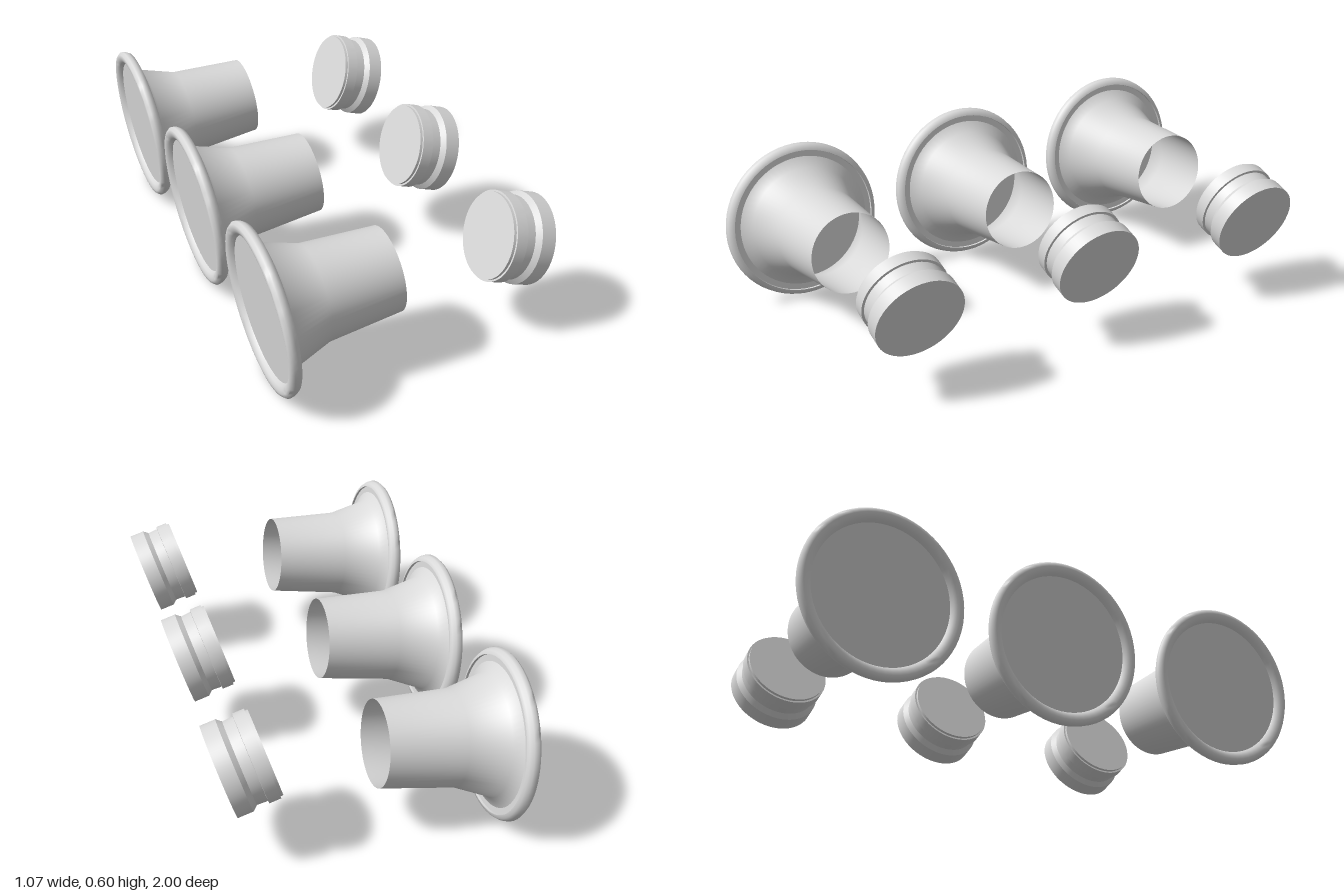
import * as THREE from 'three';
import { toCreasedNormals } from 'three/addons/utils/BufferGeometryUtils.js';

const SEGMENTS = 64;

// Profile points are [distance along axis, radius]
function turned(name, profile, crease, material) {
  const points = profile.map(([s, r]) => new THREE.Vector2(r, s));
  const geometry = toCreasedNormals(new THREE.LatheGeometry(points, SEGMENTS), crease);
  const mesh = new THREE.Mesh(geometry, material);
  mesh.name = name;
  return mesh;
}

export function createModel() {
  const model = new THREE.Group();
  model.name = 'hornsAndPlugs';

  const grey = new THREE.MeshStandardMaterial({ color: 0xdadada, side: THREE.DoubleSide });
  grey.name = 'lightGrey';

  [-0.7, 0, 0.7].forEach((z) => {
    // Flared horn, open at its narrow end
    const horn = new THREE.Group();
    horn.name = 'horn';
    horn.add(turned('hornBody', [
      [0.031, 0.252], [0.057, 0.214], [0.19, 0.169], [0.459, 0.15],
    ], 0.75, grey));

    // Rounded rim with a shallow step down to the horn body
    horn.add(turned('hornRim', [
      [0.012, 0.25], [0.0, 0.258], [-0.006, 0.27], [-0.008, 0.281], [-0.006, 0.291],
      [0.005, 0.3], [0.02, 0.297], [0.033, 0.289], [0.037, 0.276], [0.029, 0.275], [0.029, 0.25],
    ], 0.9, grey));

    // Slightly recessed plate closing the wide end
    horn.add(turned('hornBackPlate', [[0.012, 0], [0.012, 0.25]], 0.5, grey));
    horn.position.set(-0.502, 0.302, z);
    horn.rotation.z = 0.1 - Math.PI / 2;
    model.add(horn);

    // Grooved solid plug in front of the horn
    const plug = turned('plug', [
      [0, 0], [0, 0.151], [0.01, 0.151], [0.01, 0.158], [0.052, 0.158], [0.053, 0.149],
      [0.091, 0.147], [0.109, 0.162], [0.164, 0.162], [0.164, 0],
    ], 0.4, grey);
    plug.position.set(0.331, 0.386, z);
    plug.rotation.z = -0.3 - Math.PI / 2;
    model.add(plug);
  });

  return model;
}
